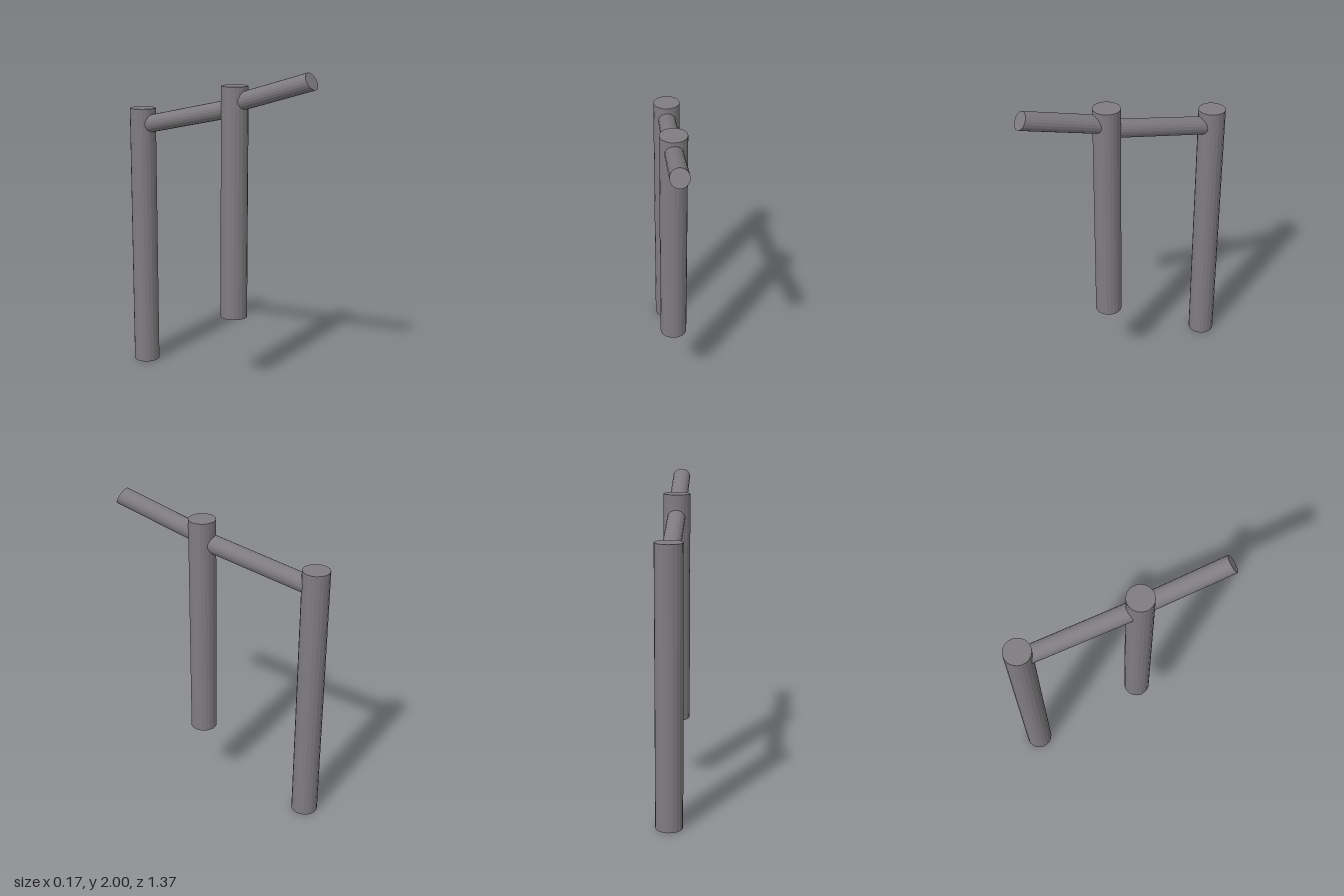
import * as THREE from 'three';

const material = new THREE.MeshStandardMaterial({ color: 0x7f7c7f, flatShading: true });
const SIDES = 20;
const POST_RADIUS = 0.0835;
const RAIL_RADIUS = 0.056;

// Upright round post standing between two heights
function makePost(name, z, bottom, top) {
  const geometry = new THREE.CylinderGeometry(POST_RADIUS, POST_RADIUS, top - bottom, SIDES);
  const post = new THREE.Mesh(geometry, material);
  post.name = name;
  post.position.set(0, (bottom + top) / 2, z);
  return post;
}

// Round rail between two points; capTilt leans its round end faces back from vertical
function makeRail(name, start, end, capTilt) {
  const xAxis = new THREE.Vector3(1, 0, 0);
  const along = end.clone().sub(start);
  const down = new THREE.Vector3(0, -Math.cos(capTilt), Math.sin(capTilt));
  const shear = new THREE.Matrix4()
    .makeBasis(xAxis, along, down)
    .setPosition(start.clone().add(end).multiplyScalar(0.5));
  const geometry = new THREE.CylinderGeometry(RAIL_RADIUS, RAIL_RADIUS, 1, SIDES);
  geometry.applyMatrix4(shear);
  const rail = new THREE.Mesh(geometry, material);
  rail.name = name;
  return rail;
}

export function createModel() {
  const group = new THREE.Group();
  group.name = 'handrail';

  // Posts: the front one starts higher up
  group.add(makePost('frontPost', 0.124, 0.443, 1.895));
  group.add(makePost('rearPost', -0.603, 0, 1.71));

  // Sloping rails, ending inside the posts
  group.add(makeRail('upperRail',
    new THREE.Vector3(0, 1.789, 0.124), new THREE.Vector3(0, 1.951, 0.66), 0.5));
  group.add(makeRail('lowerRail',
    new THREE.Vector3(0, 1.598, -0.603), new THREE.Vector3(0, 1.763, 0.124), 0.223));

  return group;
}
